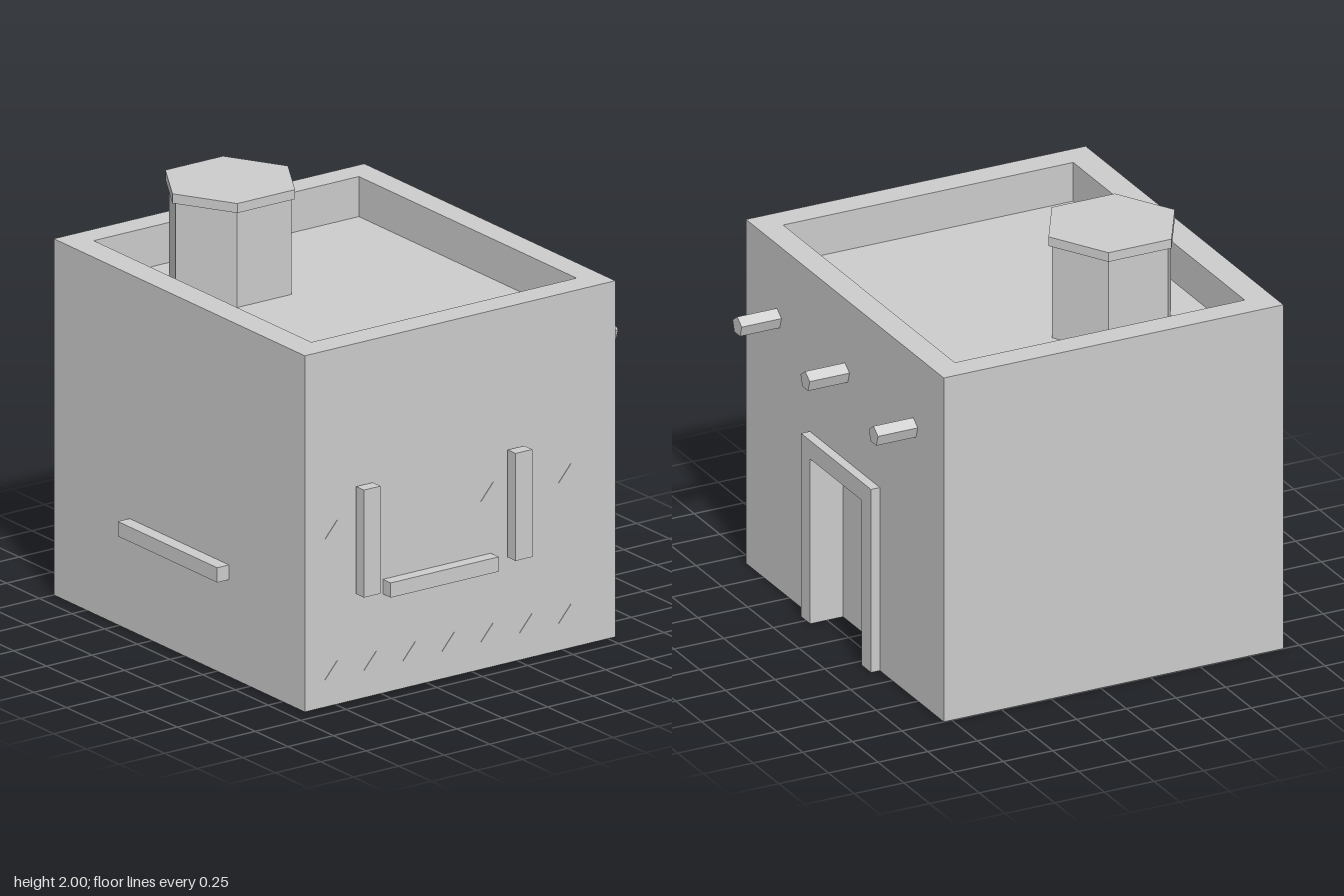
import * as THREE from 'three';

const clay = new THREE.MeshStandardMaterial({ color: 0xcccccc, flatShading: true });
clay.name = 'clay grey';

export function createModel() {
  const model = new THREE.Group();
  model.name = 'adobeHouse';

  const add = (name, geometry, x = 0, y = 0, z = 0) => {
    const mesh = new THREE.Mesh(geometry, clay);
    mesh.name = name;
    mesh.position.set(x, y, z);
    model.add(mesh);
    return mesh;
  };

  // Box given by its lower and upper limits
  const block = (name, [x0, y0, z0], [x1, y1, z1]) =>
    add(name, new THREE.BoxGeometry(x1 - x0, y1 - y0, z1 - z0),
      (x0 + x1) / 2, (y0 + y1) / 2, (z0 + z1) / 2);

  const outline = (points) => points.map(([a, b]) => new THREE.Vector2(a, b));
  const rect = (x0, z0, x1, z1) => [[x0, -z1], [x1, -z1], [x1, -z0], [x0, -z0]];

  // Plan outline (x, -z) raised from y0 to y1
  const storey = (name, points, y0, y1, hole) => {
    const shape = new THREE.Shape(outline(points));
    if (hole) shape.holes.push(new THREE.Path(outline(hole)));
    const geometry = new THREE.ExtrudeGeometry(shape, { depth: y1 - y0, bevelEnabled: false });
    add(name, geometry.rotateX(-Math.PI / 2), 0, y0, 0);
  };

  // Walls: doorway notch at the back, solid up to the roof, then the parapet
  const plan = rect(-1, -0.79, 0.92, 0.92);
  const doorway = [[0.21, 0.79], [0.21, 0.67], [-0.29, 0.67], [-0.29, 0.79]];
  storey('lowerWalls', [...plan.slice(0, 3), ...doorway, plan[3]], 0, 0.81);
  storey('upperWalls', plan, 0.81, 1.5);
  storey('parapet', plan, 1.5, 1.69, rect(-0.875, -0.67, 0.79, 0.79));

  // Door surround
  const frame = new THREE.Shape(outline([
    [-0.38, 0], [-0.29, 0], [-0.29, 0.81], [0.21, 0.81],
    [0.21, 0], [0.3, 0], [0.3, 0.9], [-0.38, 0.9],
  ]));
  add('doorFrame', new THREE.ExtrudeGeometry(frame, { depth: 0.045, bevelEnabled: false }), 0, 0, -0.835);

  // Window sills and side shutters
  block('frontSill', [-0.42, 0.46, 0.92], [0.34, 0.53, 0.985]);
  block('sideSill', [0.92, 0.47, -0.105], [0.98, 0.54, 0.49]);
  for (const z of [-0.275, 0.56]) block('shutter', [0.94, 0.51, z], [1, 1.02, z + 0.092]);

  // Hexagonal chimney with a wider cap
  add('chimney', new THREE.CylinderGeometry(0.3, 0.3, 0.47, 6), -0.47, 1.725, 0.33);
  add('chimneyCap', new THREE.CylinderGeometry(0.318, 0.318, 0.045, 6), -0.47, 1.9775, 0.33);

  // Roof beam ends sticking out of the back wall
  for (const x of [-0.703, -0.04, 0.62]) {
    const beam = new THREE.CylinderGeometry(0.047, 0.047, 0.2, 5).rotateX(-Math.PI / 2);
    add('roofBeam', beam, x, 1.328, -0.89);
  }

  // Small triangular marks on the side wall, leaving the window area free
  const mark = new THREE.ExtrudeGeometry(
    new THREE.Shape(outline([[0, 0], [0.1, 0.02], [0.068, 0.078]])),
    { depth: 0.003, bevelEnabled: false }).rotateY(Math.PI / 2);
  for (let i = 0; i < 7; i++) {
    const z = 0.81 - i * 0.2145;
    add('lowerMark', mark, 0.92, 0.13, z);
    if (i !== 2 && i !== 3) add('upperMark', mark, 0.92, 0.797, z);
  }

  return model;
}
